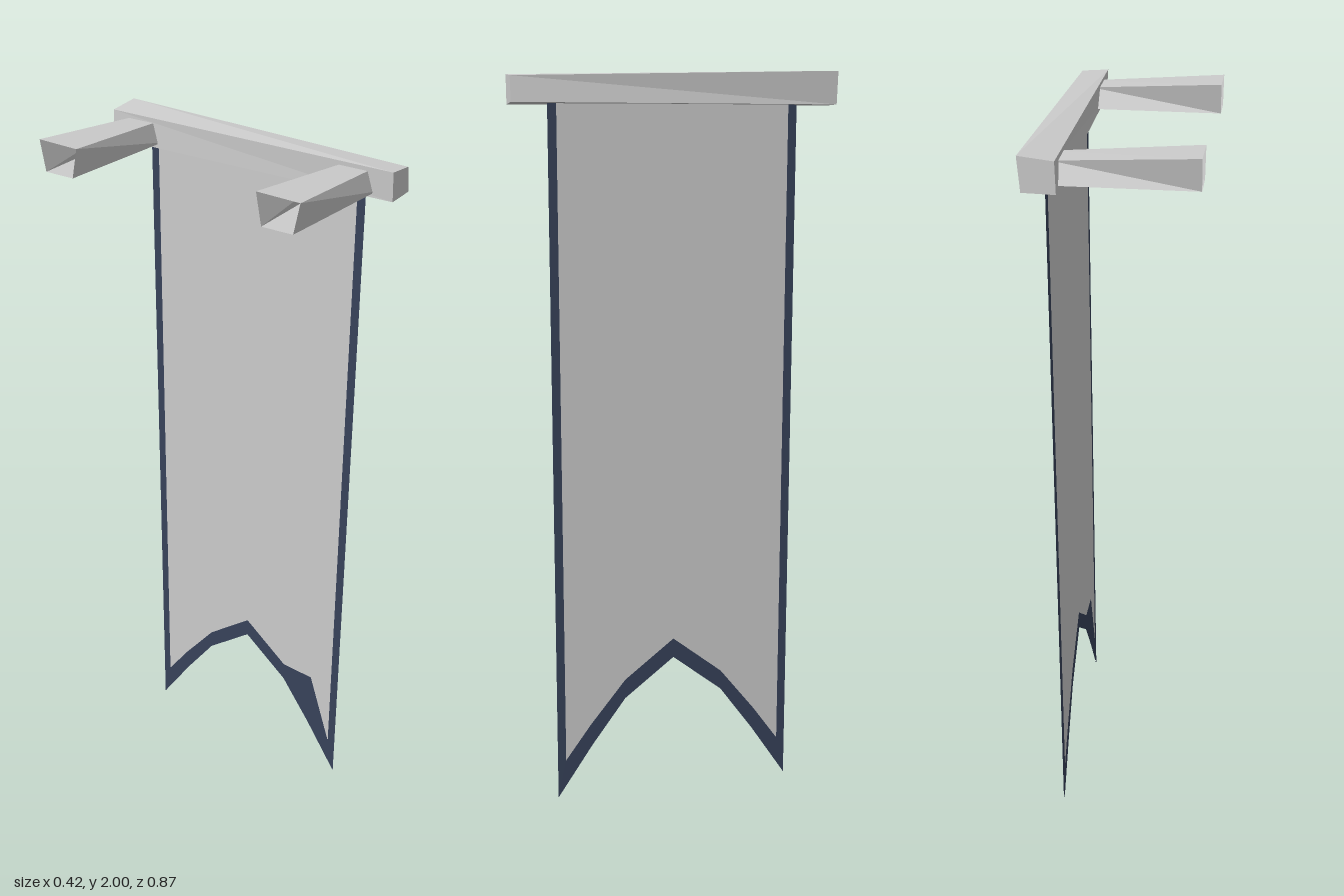
import * as THREE from 'three';

const grey = new THREE.MeshStandardMaterial({ color: 0xcccccc, side: THREE.DoubleSide, flatShading: true });
const navy = new THREE.MeshStandardMaterial({ color: 0x37425a, side: THREE.DoubleSide, flatShading: true });

// Faceted beam between two four-cornered ends; corners run anticlockwise seen from outside end b
function beam(name, a, b, capA, capB) {
  const quads = a.map((_, i) => {
    const j = (i + 1) % 4;
    return [a[i], a[j], b[j], b[i]];
  });
  if (capA) quads.push([a[3], a[2], a[1], a[0]]);
  if (capB) quads.push(b);
  const pos = quads.flatMap(([p, q, r, s]) => [p, q, r, p, r, s].flat());
  const geo = new THREE.BufferGeometry();
  geo.setAttribute('position', new THREE.Float32BufferAttribute(pos, 3));
  geo.computeVertexNormals();
  const mesh = new THREE.Mesh(geo, grey);
  mesh.name = name;
  return mesh;
}

// Flat sheet drawn in (-z, y), facing +x
function sheet(name, points, material, x) {
  const shape = new THREE.Shape(points.map(([u, v]) => new THREE.Vector2(u, v)));
  const mesh = new THREE.Mesh(new THREE.ShapeGeometry(shape), material);
  mesh.name = name;
  mesh.rotation.y = Math.PI / 2;
  mesh.position.x = x;
  return mesh;
}

const mirrorU = (pts) => pts.map(([u, v]) => [-u, v]).reverse();

export function createModel() {
  const model = new THREE.Group();

  // Hewn crossbar, slightly twisted along its length
  model.add(beam('crossbar',
    [[0.118, 1.912, -0.433], [0.2, 1.914, -0.433], [0.207, 2, -0.433], [0.12, 1.99, -0.433]],
    [[0.12, 1.912, 0.433], [0.197, 1.917, 0.433], [0.187, 1.982, 0.433], [0.115, 1.987, 0.433]],
    true, true));

  // Two tapered wall arms, open at the wall end
  for (const [name, z] of [['rearArm', -0.34], ['frontArm', 0.32]]) {
    model.add(beam(name,
      [[-0.211, 1.917, z + 0.043], [-0.211, 1.917, z - 0.045], [-0.211, 1.998, z - 0.061], [-0.211, 1.995, z + 0.06]],
      [[0.14, 1.922, z + 0.056], [0.14, 1.922, z - 0.058], [0.14, 1.975, z - 0.039], [0.14, 1.975, z + 0.04]],
      false, true));
  }

  // Cloth: swallow-tail field with a border down the sides and along the notch
  const top = 1.93, apexIn = [0, 0.445], apexOut = [0, 0.39];
  const inner = [[0.14, 0.335], [0.24, 0.21], [0.312, 0.11]];
  const outer = [[0.14, 0.28], [0.235, 0.15], [0.335, 0]];
  // On the back, one corner of the border is broader
  const innerBack = [[0.14, 0.335], [0.24, 0.33], [0.312, 0.11]];

  for (const [side, x, left] of [['front', 0.161, inner], ['back', 0.159, innerBack]]) {
    const innerLine = [...mirrorU(left), apexIn, ...inner];
    const outerLine = [...mirrorU(outer), apexOut, ...outer];
    model.add(sheet(side + 'Field', [[-0.312, top], ...innerLine, [0.312, top]], grey, x));
    model.add(sheet(side + 'Border', [
      [-0.335, top], ...outerLine, [0.335, top],
      [0.312, top], ...innerLine.slice().reverse(), [-0.312, top],
    ], navy, x));
  }

  return model;
}
